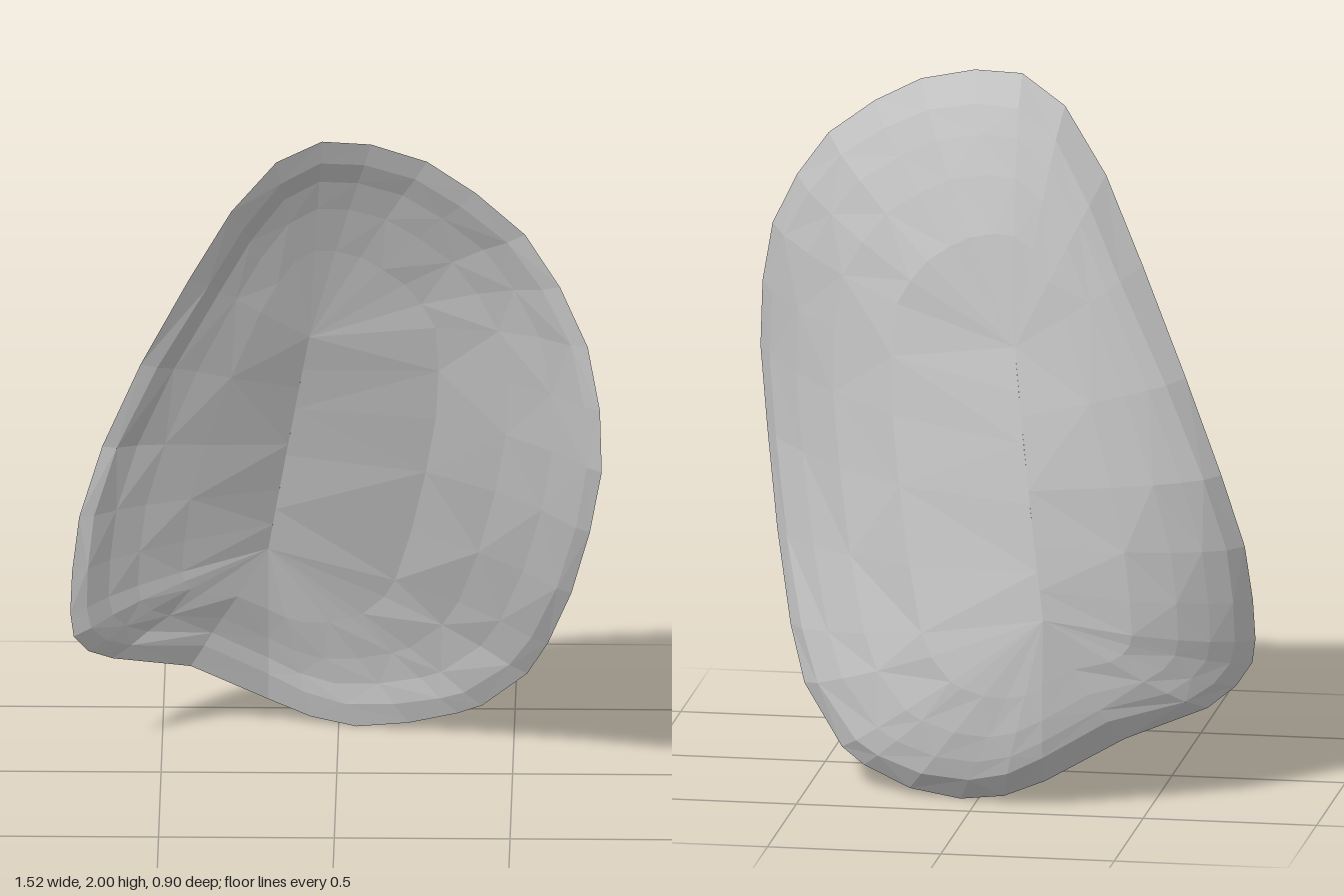
import * as THREE from 'three';

const { lerp, clamp, smoothstep } = THREE.MathUtils;

// Rim of the shell, clockwise from the top: x, y, z
const RIM = [
  [-0.04, 2.0, 0.17], [0.1, 2.0, 0.19], [0.26, 1.96, 0.22], [0.4, 1.88, 0.26], [0.54, 1.77, 0.3],
  [0.64, 1.63, 0.35], [0.72, 1.47, 0.41], [0.755, 1.29, 0.445], [0.76, 1.1, 0.44], [0.725, 0.88, 0.35],
  [0.67, 0.63, 0.19], [0.6, 0.4, 0.0], [0.54, 0.26, -0.12], [0.41, 0.11, -0.25], [0.34, 0.07, -0.29],
  [0.2, 0.02, -0.34], [0.05, 0.0, -0.36], [-0.08, 0.02, -0.385], [-0.2, 0.07, -0.39], [-0.42, 0.19, -0.34],
  [-0.64, 0.26, -0.22], [-0.71, 0.31, -0.15], [-0.75, 0.37, -0.11], [-0.76, 0.44, -0.115],
  [-0.755, 0.56, -0.13], [-0.735, 0.72, -0.15], [-0.67, 0.93, -0.165], [-0.56, 1.2, -0.12],
  [-0.42, 1.5, -0.025], [-0.3, 1.74, 0.06], [-0.17, 1.92, 0.13],
];

// The hollow deepens along a short spine; the rim fans out from its ends
const SPINE_LOW = [-0.2, 0.55, -0.43];
const SPINE_HIGH = [-0.08, 1.29, -0.2];

// Offsets of the two skins: thick in the middle, thin at the bevelled rim
const innerOffset = (u) => 0.03 + 0.06 * (1 - smoothstep(u, 0.4, 1));
const outerOffset = (u) => -0.03 * smoothstep(u, 0.3, 1);

// Point on a skin: u = 0 on the spine, u = 1 where the rim band starts
function skinPoint([x, y, z], u, offset) {
  const s = clamp((y - 0.45) / 1.0, 0, 1);
  const foot = SPINE_LOW.map((v, k) => lerp(v, SPINE_HIGH[k], s));
  foot[2] -= 0.08 * s * (1 - s);
  // the band is wider at the top and bottom than at the sides
  const reach = Math.hypot(x - foot[0], y - foot[1]);
  const bandWidth = lerp(0.04, 0.08, Math.abs(y - foot[1]) / reach);
  const t = u * (1 - bandWidth / reach);
  const lift = lerp(1.95, 1.55, smoothstep(y, 1.4, 2));
  // the underside sags a little, only below the spine
  const sag = 0.09 * smoothstep(x, -0.5, -0.1) * (1 - s) * t * (1 - t);
  return [
    lerp(foot[0], x, t),
    lerp(foot[1], y, t),
    foot[2] + (z - foot[2]) * t ** lift - sag + offset(u),
  ];
}

// Join loops of points into faces
function loopsGeometry(loops, facesFront) {
  const n = RIM.length;
  const index = [];
  const face = (a, b, c) => (facesFront ? index.push(a, b, c) : index.push(a, c, b));
  for (let r = 0; r < loops.length - 1; r++) {
    for (let i = 0; i < n; i++) {
      const j = (i + 1) % n;
      const a = r * n + i, b = r * n + j, c = a + n, d = b + n;
      // alternate the diagonals for a faceted look
      if ((r + i) % 2) {
        face(a, b, c);
        face(b, d, c);
      } else {
        face(a, d, c);
        face(a, b, d);
      }
    }
  }
  const geometry = new THREE.BufferGeometry();
  geometry.setAttribute('position', new THREE.Float32BufferAttribute(loops.flat(2), 3));
  geometry.setIndex(index);
  geometry.computeVertexNormals();
  return geometry;
}

export function createModel() {
  const group = new THREE.Group();
  group.name = 'curvedShell';
  const grey = new THREE.MeshStandardMaterial({ color: 0xc0c0c0, flatShading: true, side: THREE.DoubleSide });
  grey.name = 'light grey';

  // each skin is a bowl plus a bevelled band that closes onto the rim
  const addSkin = (side, offset, facesFront) => {
    const loops = [0, 0.48, 0.72, 0.88, 1].map((u) => RIM.map((p) => skinPoint(p, u, offset)));
    const bowl = new THREE.Mesh(loopsGeometry(loops, facesFront), grey);
    bowl.name = `${side}Bowl`;
    const band = new THREE.Mesh(loopsGeometry([loops.at(-1), RIM], facesFront), grey);
    band.name = `${side}RimBand`;
    group.add(bowl, band);
  };
  addSkin('inner', innerOffset, true);
  addSkin('outer', outerOffset, false);
  return group;
}
